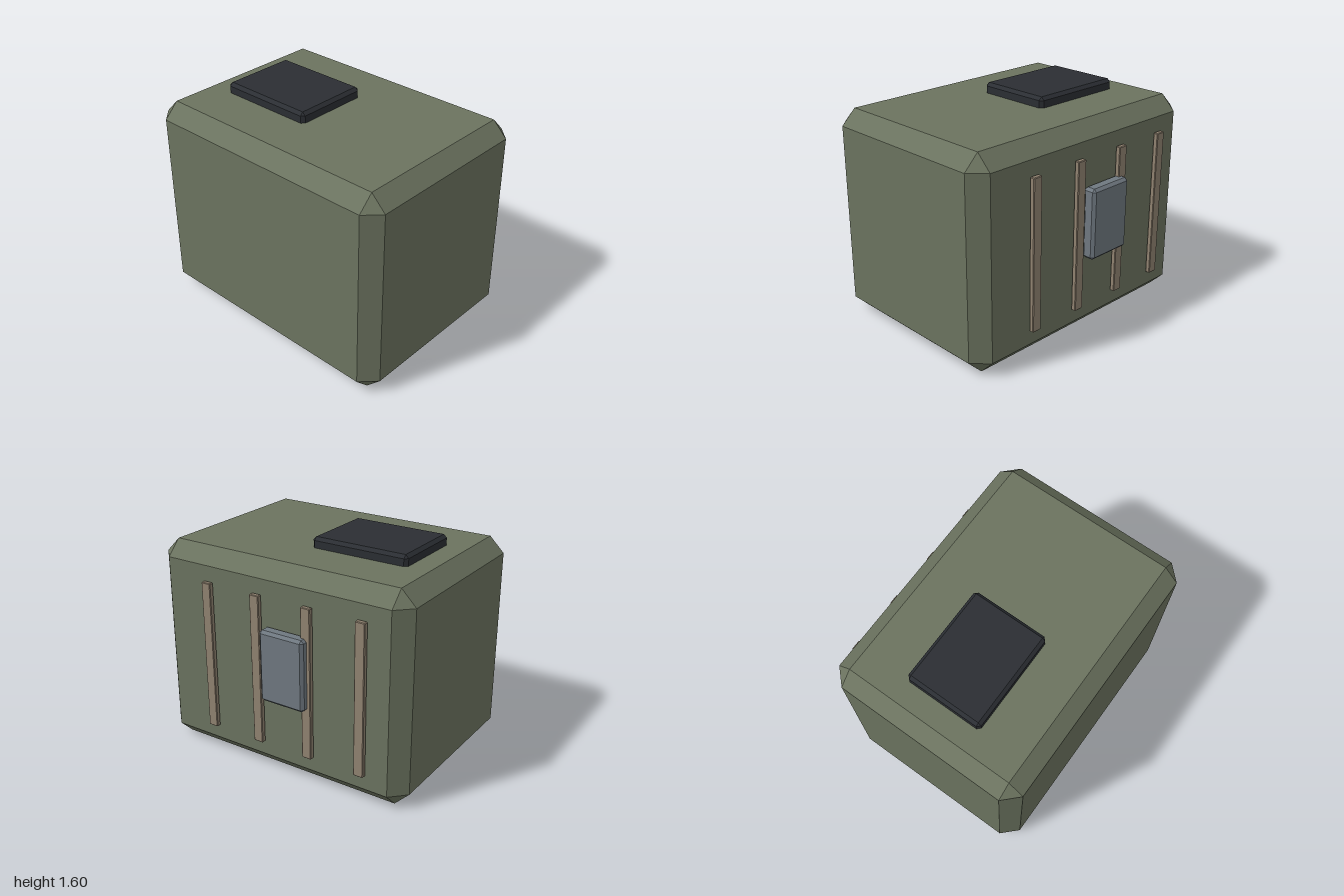
import * as THREE from 'three';
import { ConvexGeometry } from 'three/addons/geometries/ConvexGeometry.js';

// Box with all edges cut at 45 degrees; min and max are its outer corners
function chamferBox(name, min, max, cut, color) {
  const centre = min.map((v, i) => (v + max[i]) / 2);
  const half = min.map((v, i) => (max[i] - v) / 2);
  const points = [];
  for (const sx of [-1, 1]) for (const sy of [-1, 1]) for (const sz of [-1, 1]) {
    // each corner becomes a small triangle, one point on each adjoining face
    for (let face = 0; face < 3; face++) {
      const p = [sx, sy, sz].map((s, i) => s * (half[i] - (i === face ? 0 : cut)));
      points.push(new THREE.Vector3(...p));
    }
  }
  const material = new THREE.MeshStandardMaterial({ color, flatShading: true });
  const mesh = new THREE.Mesh(new ConvexGeometry(points), material);
  mesh.position.set(...centre);
  mesh.name = name;
  return mesh;
}

export function createModel() {
  const model = new THREE.Group();
  model.name = 'pack';

  // Main body
  model.add(chamferBox('body', [-0.783, 0, -1], [0.685, 1.525, 1], 0.108, 0x6b735f));

  // Dark plate on the top, towards the back
  model.add(chamferBox('topPlate', [-0.335, 1.5, -0.734], [0.235, 1.6, 0], 0.023, 0x2b2e33));

  // Four upright slats along the left side
  const slats = new THREE.Group();
  slats.name = 'sideSlats';
  for (let i = 0; i < 4; i++) {
    const z = 0.531 - i * 0.409;
    slats.add(chamferBox('slat' + (i + 1), [0.694, 0.218, z - 0.037], [0.73, 1.311, z + 0.037], 0.005, 0x908270));
  }
  model.add(slats);

  // Raised panel over the slats
  model.add(chamferBox('sidePanel', [0.682, 0.582, -0.298], [0.78, 1.098, 0.054], 0.02, 0x6f7880));

  return model;
}
